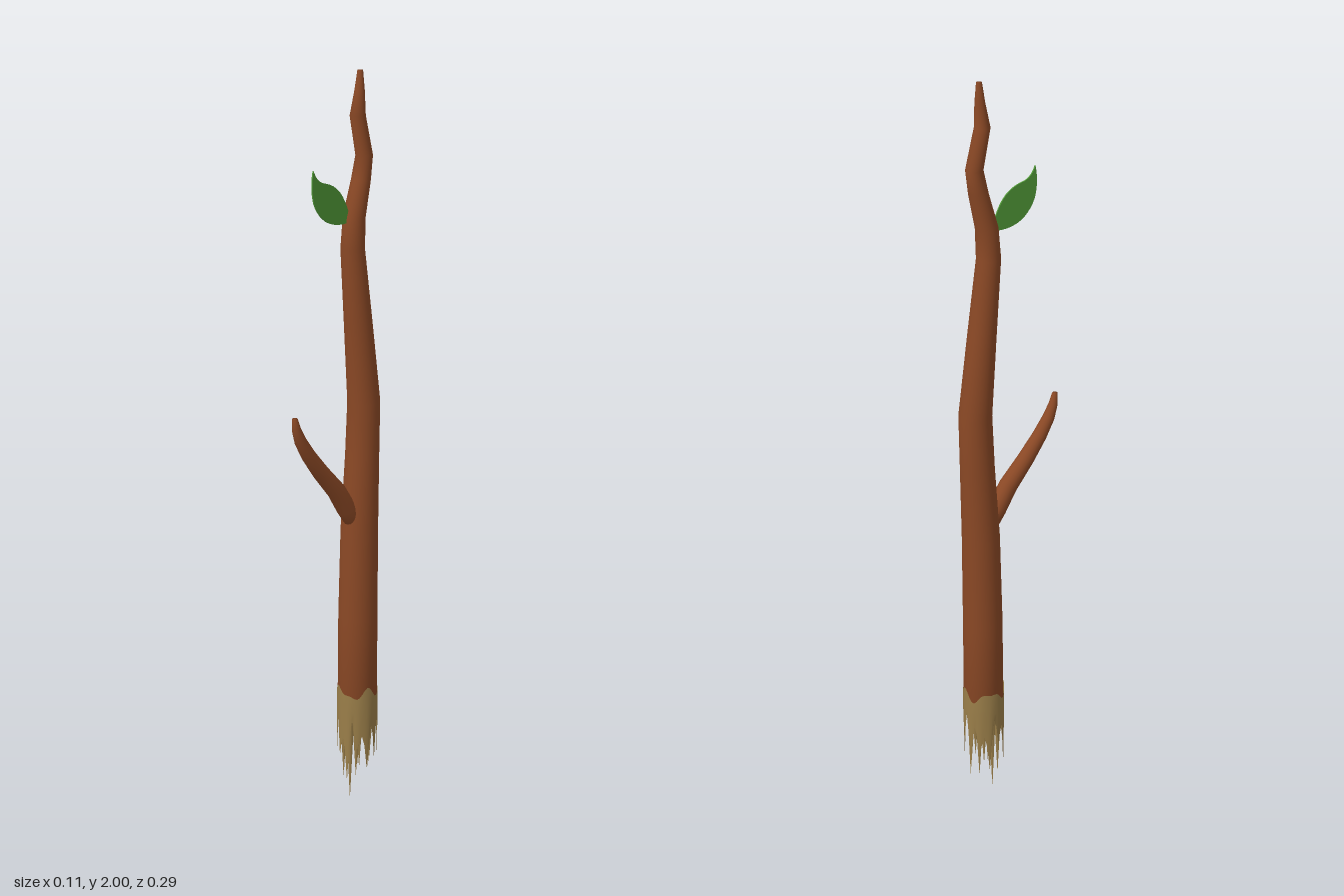
import * as THREE from 'three';

const mat = (name, color, side = THREE.FrontSide) => {
  const m = new THREE.MeshStandardMaterial({ color, side });
  m.name = name;
  return m;
};

// Lofts round sections [y, z, radius, tilt], ordered base to tip, and closes both ends
function loft(sections, n) {
  const pos = [], idx = [];
  for (const [y, z, r, tilt = 0] of sections) {
    for (let j = 0; j < n; j++) {
      const a = (j / n) * Math.PI * 2, s = r * Math.sin(a);
      pos.push(r * Math.cos(a), y - s * Math.sin(tilt), z + s * Math.cos(tilt));
    }
  }
  const last = (sections.length - 1) * n, base = pos.length / 3;
  for (const s of [sections[0], sections.at(-1)]) pos.push(0, s[0], s[1]);
  for (let j = 0; j < n; j++) {
    const k = (j + 1) % n;
    for (let i = 0; i < last; i += n) {
      idx.push(i + j, i + n + j, i + k, i + k, i + n + j, i + n + k);
    }
    idx.push(j, k, base, last + j, base + 1, last + k);
  }
  return finish(pos, idx);
}

function finish(pos, idx) {
  const g = new THREE.BufferGeometry();
  g.setAttribute('position', new THREE.Float32BufferAttribute(pos, 3));
  g.setIndex(idx);
  g.computeVertexNormals();
  return g;
}

// Torn wooden sleeve: wavy upper rim, toothed lower rim
function tornSleeve(cz) {
  const tips = [0.11, 0.17, 0.07, 0.14, 0.09, 0.18, 0.1, 0.15, 0.08, 0.17, 0.09, 0.13];
  const gaps = [0.24, 0.21, 0.26, 0.2, 0.25, 0.23, 0.26, 0.21, 0.24, 0.27, 0.22, 0.25];
  const n = tips.length * 4, pos = [], idx = [];
  for (let j = 0; j < n; j++) {
    const a = (j / n) * Math.PI * 2, k = Math.floor(j / 4);
    const gap = gaps[j % 4 === 3 ? (k + 1) % 12 : k];
    const bottom = [gap, gap * 0.6 + tips[k] * 0.4, tips[k], gap * 0.7 + tips[k] * 0.3][j % 4];
    const top = 0.335 + 0.013 * Math.sin(a * 4 + 0.6) + 0.007 * Math.sin(a * 7);
    for (const [y, r] of [[top, 0.0555], [0.28, 0.056], [bottom, 0.054]]) {
      pos.push(r * Math.cos(a), y, cz + r * Math.sin(a));
    }
    const A = j * 3, B = ((j + 1) % n) * 3;
    for (const i of [0, 1]) idx.push(A + i + 1, A + i, B + i + 1, B + i + 1, A + i, B + i);
  }
  return finish(pos, idx);
}

export function createModel() {
  const bark = mat('bark brown', 0x8a4825);
  const wood = mat('bare wood', 0x9a7e49, THREE.DoubleSide);
  const green = mat('leaf green', 0x4f9636);
  const model = new THREE.Group();
  model.name = 'stick';
  const add = (name, geometry, material, parent = model) => {
    const m = new THREE.Mesh(geometry, material);
    m.name = name;
    parent.add(m);
    return m;
  };

  // Gently crooked stem
  add('stem', loft([
    [0.29, -0.085, 0.054], [0.55, -0.086, 0.053], [0.8, -0.09, 0.05],
    [1.0, -0.099, 0.045], [1.15, -0.104, 0.043], [1.36, -0.083, 0.037],
    [1.56, -0.062, 0.031], [1.64, -0.067, 0.029], [1.73, -0.09, 0.025],
    [1.79, -0.101, 0.022], [1.89, -0.078, 0.02], [1.95, -0.084, 0.013], [2.0, -0.086, 0.007],
  ], 28), bark);

  // Side twig curving forward and up
  add('twig', loft([
    [0.82, -0.075, 0.026, 0.55], [0.87, -0.04, 0.026, 0.6], [0.925, -0.006, 0.025, 0.65],
    [0.99, 0.05, 0.022, 0.65], [1.045, 0.092, 0.019, 0.6], [1.09, 0.12, 0.016, 0.45],
    [1.125, 0.134, 0.012, 0.2], [1.155, 0.139, 0.007, 0],
  ], 18), bark);

  // Broken lower end
  const broken = new THREE.Group();
  broken.name = 'brokenEnd';
  model.add(broken);
  const cz = -0.085;
  add('tornSleeve', tornSleeve(cz), wood, broken);
  const core = add('woodCore', new THREE.CylinderGeometry(0.05, 0.044, 0.05, 20), wood, broken);
  core.position.set(0, 0.27, cz);
  // [x, z offset, tip height, radius]
  const splinters = [
    [0, 0.027, 0, 0.012], [-0.022, 0.03, 0.06, 0.011], [0.022, 0.026, 0.08, 0.011],
    [0.034, -0.006, 0.1, 0.012], [-0.036, 0.004, 0.12, 0.012], [0.016, -0.03, 0.1, 0.012],
    [-0.018, -0.026, 0.07, 0.012], [0, 0, 0.09, 0.013],
  ];
  for (const [x, z, tip, r] of splinters) {
    const h = 0.26 - tip;
    const s = add('splinter', new THREE.ConeGeometry(r, h, 6).rotateX(Math.PI), wood, broken);
    s.position.set(x, tip + h / 2, cz + z);
  }

  // Thin leaf, drawn in (z, y) and turned into the side plane
  const outline = new THREE.Shape();
  outline.moveTo(-0.045, 1.628);
  outline.bezierCurveTo(0.02, 1.62, 0.055, 1.65, 0.072, 1.69);
  outline.quadraticCurveTo(0.084, 1.73, 0.074, 1.773);
  outline.quadraticCurveTo(0.063, 1.742, 0.035, 1.737);
  outline.bezierCurveTo(-0.015, 1.725, -0.03, 1.69, -0.045, 1.655);
  const leaf = new THREE.ExtrudeGeometry(outline, { depth: 0.004, bevelEnabled: false, curveSegments: 10 });
  leaf.rotateY(-Math.PI / 2).translate(0.003, 0, 0);
  add('leaf', leaf, green);

  return model;
}
